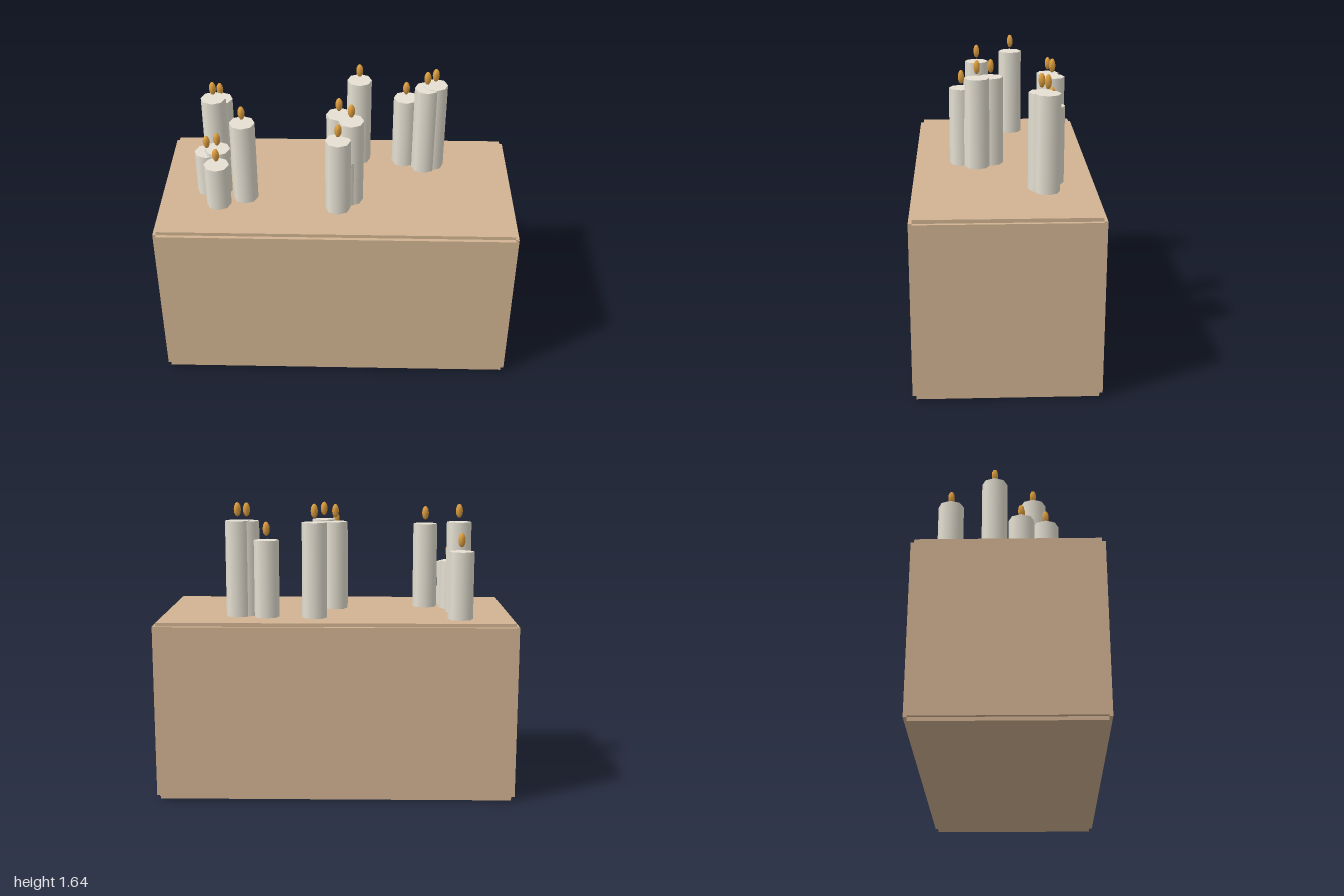
import * as THREE from 'three';

const tan = new THREE.MeshStandardMaterial({ color: 0xd2b492 });
const wax = new THREE.MeshStandardMaterial({ color: 0xe6e1d3 });
const fire = new THREE.MeshStandardMaterial({ color: 0xe0a040 });

// x, z and top height of every candle
const CANDLES = [
  [-0.69, -0.32, 1.375], [-0.695, -0.08, 1.517], [-0.73, 0.067, 1.26], [-0.67, 0.07, 1.28],
  [-0.663, 0.2, 1.26], [-0.517, 0.133, 1.49],
  [0.01, 0.06, 1.507], [0.078, 0.14, 1.515], [0.045, 0.155, 1.28], [0.008, 0.228, 1.445],
  [0.12, -0.28, 1.53],
  [0.388, -0.26, 1.43], [0.502, -0.195, 1.532], [0.55, -0.225, 1.535],
];
const RADIUS = 0.07;

function addMesh(parent, name, geometry, material, x, y, z) {
  const mesh = new THREE.Mesh(geometry, material);
  mesh.name = name;
  mesh.position.set(x, y, z);
  parent.add(mesh);
  return mesh;
}

export function createModel() {
  const model = new THREE.Group();
  model.name = 'candleTable';

  // Block clad in panels that stop short of the edges, leaving notched corners
  const block = new THREE.Group();
  block.name = 'block';
  model.add(block);
  const t = 0.02, w = 1.96, h = 0.96, d = 0.96;
  for (const s of [-1, 1]) {
    addMesh(block, s > 0 ? 'frontPanel' : 'backPanel',
      new THREE.BoxGeometry(w, h, t), tan, 0, 0.5, s * (d + t) / 2);
    addMesh(block, s > 0 ? 'leftPanel' : 'rightPanel',
      new THREE.BoxGeometry(t, h, d), tan, s * (w + t) / 2, 0.5, 0);
    addMesh(block, s > 0 ? 'topPanel' : 'bottomPanel',
      new THREE.BoxGeometry(w, t, d), tan, 0, 0.5 + s * (h + t) / 2, 0);
  }

  // Candles with a small flame hovering above each
  const flameGeometry = new THREE.SphereGeometry(0.02, 6, 6).scale(1, 2, 1);
  for (const [x, z, top] of CANDLES) {
    const candle = new THREE.Group();
    candle.name = 'candle';
    candle.position.set(x, 1, z);
    model.add(candle);
    const height = top - 1;
    addMesh(candle, 'candleBody',
      new THREE.CylinderGeometry(RADIUS, RADIUS, height, 8), wax, 0, height / 2, 0);
    addMesh(candle, 'flame', flameGeometry, fire, 0, height + 0.062, 0);
  }
  return model;
}
